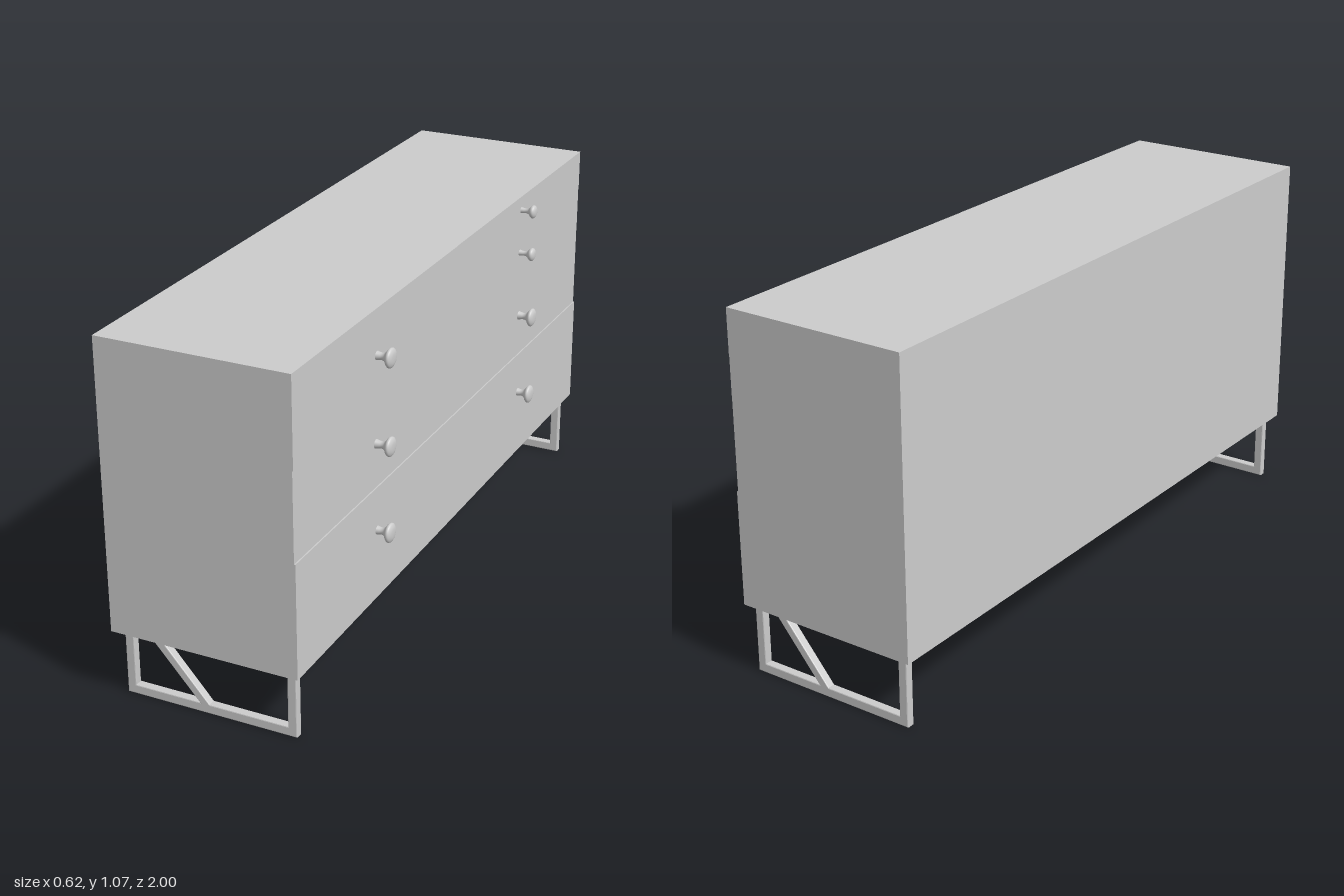
import * as THREE from 'three';

const material = new THREE.MeshStandardMaterial({ color: 0xcccccc });

function add(parent, geometry, name, x = 0, y = 0, z = 0) {
  const mesh = new THREE.Mesh(geometry, material);
  mesh.name = name;
  mesh.position.set(x, y, z);
  parent.add(mesh);
  return mesh;
}

// Box given by its minimum and maximum corners
function addBox(parent, name, [x0, y0, z0], [x1, y1, z1]) {
  const geometry = new THREE.BoxGeometry(x1 - x0, y1 - y0, z1 - z0);
  return add(parent, geometry, name, (x0 + x1) / 2, (y0 + y1) / 2, (z0 + z1) / 2);
}

// Round knob: flared foot, slim neck, domed head, pointing along +x
function addKnob(parent, name, y, z, radius, reach) {
  const profile = new THREE.SplineCurve([
    [0.5, 0], [0.4, 0.2], [0.36, 0.38], [0.5, 0.55], [0.85, 0.68],
    [1, 0.78], [0.93, 0.89], [0.55, 0.98], [0, 1],
  ].map(([r, h]) => new THREE.Vector2(r * radius, h * reach)));
  const points = profile.getPoints(28);
  points[points.length - 1].x = 0;
  const knob = add(parent, new THREE.LatheGeometry(points, 28), name, 0.25, y, z);
  knob.rotation.z = -Math.PI / 2;
}

// Softly bevelled bar cut from a flat polygon in the x-y plane
function addBar(parent, name, corners, depth) {
  const bevel = 0.003;
  const shape = new THREE.Shape(corners.map(([x, y]) => new THREE.Vector2(x, y)));
  const geometry = new THREE.ExtrudeGeometry(shape, {
    depth: depth - 2 * bevel, bevelSize: bevel, bevelThickness: bevel,
    bevelOffset: -bevel, bevelSegments: 2,
  });
  geometry.translate(0, 0, bevel - depth / 2);
  add(parent, geometry, name);
}

// Leg frame with two posts, a floor bar and one diagonal brace
function legFrame(name, z, brace) {
  const frame = new THREE.Group();
  frame.name = name;
  const depth = 0.025, top = 0.212;
  const rect = (x0, y0, x1, y1) => [[x0, y0], [x1, y0], [x1, y1], [x0, y1]];
  addBar(frame, 'floorBar', rect(-0.29, 0, 0.232, 0.028), depth);
  addBar(frame, 'backPost', rect(-0.29, 0, -0.263, top), depth);
  addBar(frame, 'frontPost', rect(0.205, 0, 0.232, top), depth);
  addBar(frame, 'brace', brace, depth);
  frame.position.z = z;
  return frame;
}

export function createModel() {
  const dresser = new THREE.Group();
  dresser.name = 'dresser';

  // Cabinet
  addBox(dresser, 'cabinet', [-0.31, 0.205, -1], [0.25, 1.065, 1]);

  // Drawer fronts: bottom y, top y, z range, face x
  [
    ['bottomDrawer', 0.205, 0.545, -1, 1, 0.256],
    ['middleDrawer', 0.545, 0.805, -1, 1, 0.252],
    ['topLeftDrawer', 0.805, 1.065, 0, 1, 0.2545],
    ['lowerSmallDrawer', 0.805, 0.937, -1, 0, 0.2525],
    ['upperSmallDrawer', 0.937, 1.065, -1, 0, 0.2535],
  ].forEach(([name, y0, y1, z0, z1, face]) =>
    addBox(dresser, name, [0.24, y0, z0], [face, y1, z1]));

  // Knobs
  for (const y of [0.415, 0.675, 0.932]) addKnob(dresser, 'leftKnob', y, 0.525, 0.028, 0.055);
  for (const y of [0.415, 0.675]) addKnob(dresser, 'rightKnob', y, -0.5, 0.028, 0.055);
  for (const y of [0.885, 1.022]) addKnob(dresser, 'smallKnob', y, -0.49, 0.02, 0.052);

  // Leg frames, braced in opposite directions
  dresser.add(legFrame('leftLegFrame', 0.952,
    [[-0.05, 0.012], [-0.02, 0.012], [-0.193, 0.212], [-0.226, 0.212]]));
  dresser.add(legFrame('rightLegFrame', -0.97,
    [[-0.032, 0.012], [0, 0.012], [0.168, 0.212], [0.136, 0.212]]));

  return dresser;
}
